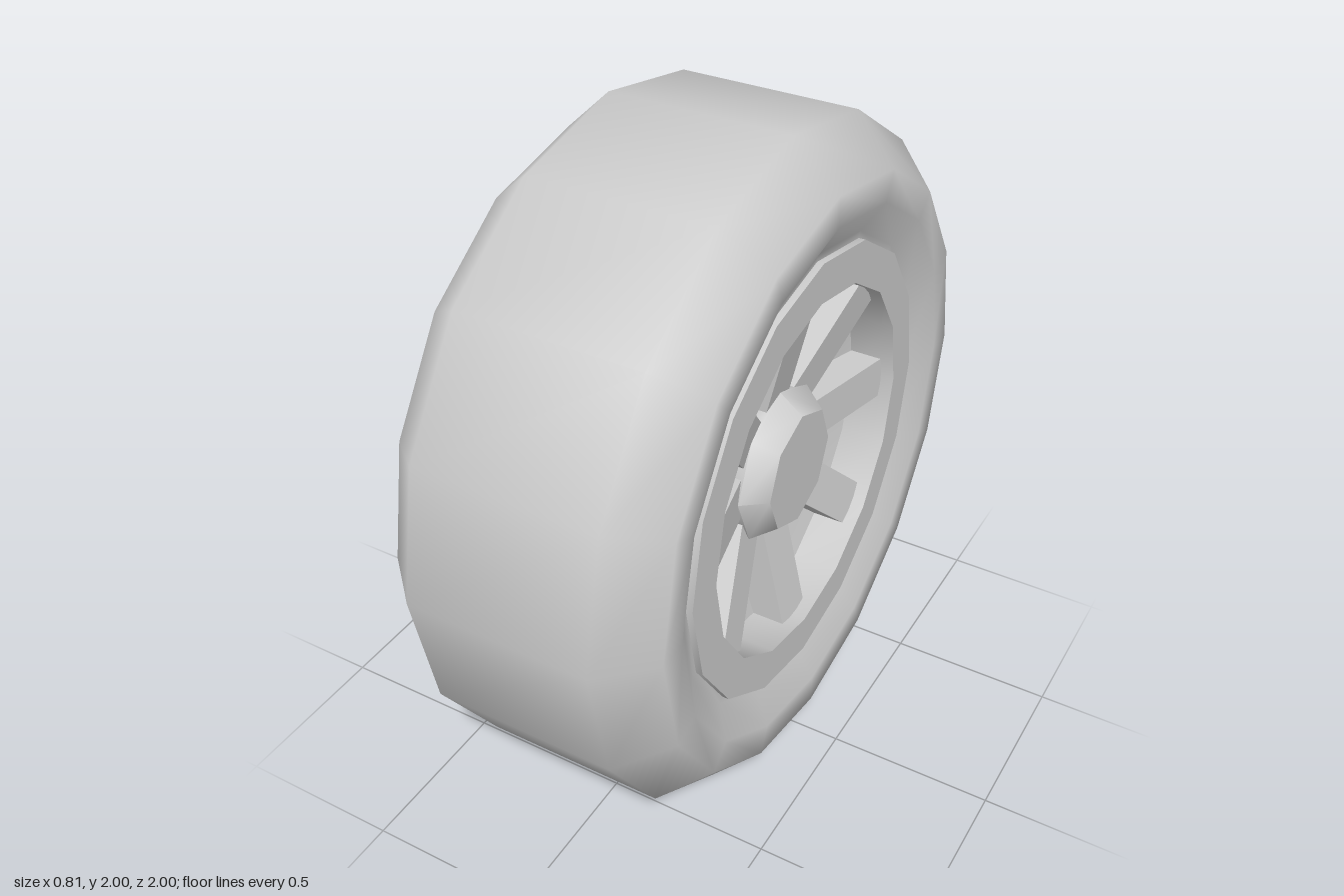
import * as THREE from 'three';
import { toCreasedNormals } from 'three/addons/utils/BufferGeometryUtils.js';

const material = new THREE.MeshStandardMaterial({ color: 0xcccccc });

// Turned part around the x axis; profile points are [radius, x]
function turned(name, profile, sides, crease) {
  let geometry = new THREE.LatheGeometry(profile.map(([r, x]) => new THREE.Vector2(r, x)), sides);
  geometry.rotateZ(-Math.PI / 2);
  if (crease) geometry = toCreasedNormals(geometry, crease);
  const mesh = new THREE.Mesh(geometry, material);
  mesh.name = name;
  return mesh;
}

export function createModel() {
  const wheel = new THREE.Group();
  wheel.name = 'wheel';
  const axle = new THREE.Group();
  axle.name = 'wheelAssembly';
  axle.position.y = 1;
  wheel.add(axle);

  // Tyre: chamfered tread, and a sidewall that dips toward the rim
  axle.add(turned('tyre', [
    [0.87, -0.405], [1, -0.27], [1, 0.27], [0.87, 0.405],
    [0.78, 0.405], [0.69, 0.35], [0.66, 0.35],
  ], 16));

  // Flat closed inner side
  axle.add(turned('backPlate', [[0, -0.405], [0.87, -0.405]], 16));

  // Rim: raised lip, barrel and conical dish
  axle.add(turned('rim', [
    [0.67, 0.34], [0.67, 0.37], [0.55, 0.37], [0.55, 0.23], [0.15, 0.1], [0, 0.1],
  ], 16, 0.6));

  // Hub: octagonal, bevelled on both ends
  axle.add(turned('hub', [
    [0.19, 0.08], [0.19, 0.17], [0.235, 0.21], [0.235, 0.26], [0.18, 0.33], [0, 0.33],
  ], 8, 0.85));

  // Eight spokes sloping inward from the rim to the hub
  const side = new THREE.Shape([[0.24, 0.15], [0.33, 0.545], [0.2, 0.545], [0.08, 0.15]]
    .map(([x, r]) => new THREE.Vector2(x, r)));
  const spokeGeometry = new THREE.ExtrudeGeometry(side, { depth: 0.135, bevelEnabled: false });
  spokeGeometry.translate(0, 0, -0.0675);
  const spokes = new THREE.Group();
  spokes.name = 'spokes';
  for (let i = 0; i < 8; i++) {
    const spoke = new THREE.Mesh(spokeGeometry, material);
    spoke.name = 'spoke';
    spoke.rotation.x = (i * Math.PI) / 4;
    spokes.add(spoke);
  }
  axle.add(spokes);

  return wheel;
}
